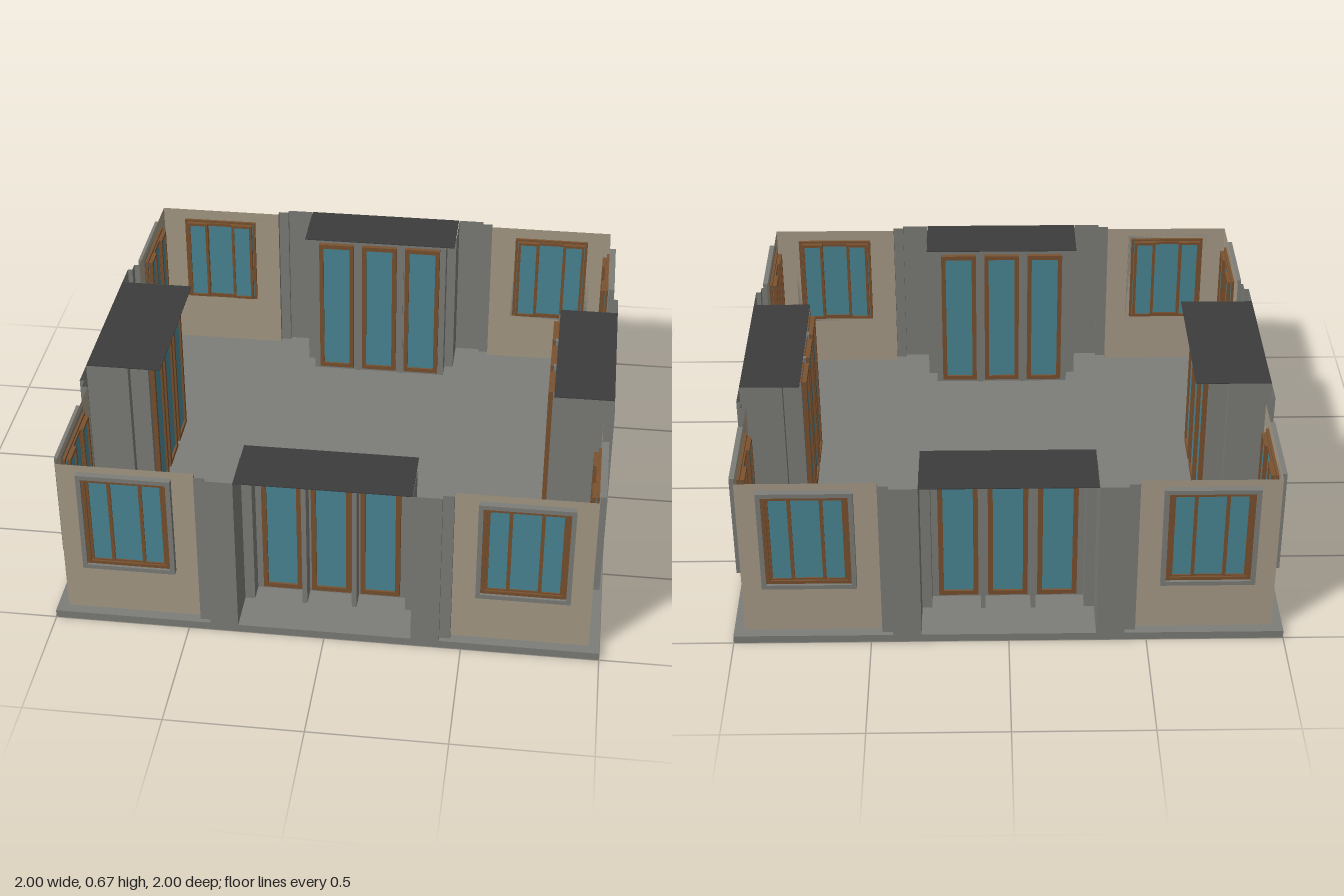
import * as THREE from 'three';

const mat = (name, color, side = THREE.FrontSide) => {
  const m = new THREE.MeshStandardMaterial({ color, side });
  m.name = name;
  return m;
};

export function createModel() {
  const stone = mat('grey stone', 0x7d7d79, THREE.DoubleSide);
  const plaster = mat('beige plaster', 0xa89c88, THREE.DoubleSide);
  const wood = mat('brown wood', 0x7a5230);
  const glass = mat('teal glass', 0x4a8796);
  const roofing = mat('dark roofing', 0x3c3c3c, THREE.DoubleSide);
  const BASE = 0.03, TOP = 0.67;

  const add = (parent, name, geo, material) => {
    const mesh = new THREE.Mesh(geo, material);
    mesh.name = name;
    parent.add(mesh);
    return mesh;
  };
  // box given by its limits on each axis
  const box = (parent, name, material, x0, x1, y0, y1, z0, z1) => {
    const mesh = add(parent, name, new THREE.BoxGeometry(x1 - x0, y1 - y0, z1 - z0), material);
    mesh.position.set((x0 + x1) / 2, (y0 + y1) / 2, (z0 + z1) / 2);
  };
  // rectangular frame with an opening, border width b
  const ring = (parent, name, material, x0, x1, y0, y1, z0, z1, b) => {
    const rect = (C, d) => {
      const p = new C();
      p.moveTo(x0 + d, y0 + d);
      p.lineTo(x1 - d, y0 + d);
      p.lineTo(x1 - d, y1 - d);
      p.lineTo(x0 + d, y1 - d);
      p.closePath();
      return p;
    };
    const shape = rect(THREE.Shape, 0);
    shape.holes.push(rect(THREE.Path, b));
    const geo = new THREE.ExtrudeGeometry(shape, { depth: z1 - z0, bevelEnabled: false });
    geo.translate(0, 0, z0);
    add(parent, name, geo, material);
  };
  // thin upright wall following a plan line of [x, z] points
  const sheet = (parent, name, material, pts) => {
    const pos = [], idx = [];
    for (let i = 0; i < pts.length - 1; i++) {
      const [ax, az] = pts[i], [bx, bz] = pts[i + 1], n = i * 4;
      pos.push(ax, BASE, az, bx, BASE, bz, bx, TOP, bz, ax, TOP, az);
      idx.push(n, n + 1, n + 2, n, n + 2, n + 3);
    }
    const geo = new THREE.BufferGeometry();
    geo.setAttribute('position', new THREE.Float32BufferAttribute(pos, 3));
    geo.setIndex(idx);
    geo.computeVertexNormals();
    add(parent, name, geo, material);
  };

  // three-light window centred at cx, sashes stepping into the room
  const makeWindow = (cx) => {
    const w = new THREE.Group();
    w.name = 'window';
    ring(w, 'windowSurround', stone, -0.17, 0.17, 0.23, 0.642, 0.96, 0.985, 0.017);
    ring(w, 'windowFrame', wood, -0.153, 0.153, 0.246, 0.625, 0.95, 0.975, 0.014);
    box(w, 'windowGlass', glass, -0.142, 0.142, 0.257, 0.614, 0.948, 0.963);
    ring(w, 'middleSash', wood, -0.062, 0.062, 0.255, 0.616, 0.944, 0.967, 0.012);
    for (const s of [-1, 1]) {
      const a = s * 0.052, b = s * 0.14;
      ring(w, 'sideSash', wood, Math.min(a, b), Math.max(a, b), 0.255, 0.616, 0.933, 0.969, 0.011);
      box(w, 'sidePane', glass, Math.min(a, b) + 0.008, Math.max(a, b) - 0.008, 0.263, 0.608, 0.94, 0.964);
    }
    w.position.x = cx;
    return w;
  };

  // one side of the building, facing +z, with its canopy reaching in to z = inner
  const makeSide = (inner) => {
    const side = new THREE.Group();
    side.name = 'facade';
    for (const s of [-1, 1]) {
      sheet(side, 'cornerWall', plaster, [[s * 0.46, 0.96], [s * 0.96, 0.96]]);
      side.add(makeWindow(s * 0.715));
    }
    // stepped pilasters, porch cheeks and recessed door wall
    const half = [[0.46, 0.96], [0.46, 0.982], [0.42, 0.982], [0.42, 1], [0.317, 1],
      [0.317, 0.84], [0.28, 0.84], [0.28, 0.77]];
    const mirrored = half.map(([x, z]) => [-x, z]);
    sheet(side, 'porchWall', stone, [...mirrored, ...half.reverse()]);
    // glazed doors and the fins between them
    for (const i of [-1, 0, 1]) {
      const x = i * 0.182;
      ring(side, 'doorFrame', wood, x - 0.073, x + 0.073, 0.048, 0.652, 0.752, 0.788, 0.018);
      box(side, 'doorGlass', glass, x - 0.058, x + 0.058, 0.063, 0.637, 0.76, 0.78);
    }
    for (const s of [-1, 1]) {
      box(side, 'doorFin', stone, s * 0.092 - 0.009, s * 0.092 + 0.009, BASE, TOP - 0.003, 0.765, 0.845);
    }
    box(side, 'canopy', roofing, -0.315, 0.315, TOP - 0.002, TOP + 0.001, inner, 1);
    return side;
  };

  const model = new THREE.Group();
  model.name = 'pavilion';
  box(model, 'floorSlab', stone, -1, 1, 0, BASE, -1, 1);
  // front, left, back and right sides, with slightly different canopies
  [0.765, 0.775, 0.76, 0.715].forEach((inner, k) => {
    const side = makeSide(inner);
    side.rotation.y = k * Math.PI / 2;
    model.add(side);
  });
  return model;
}
